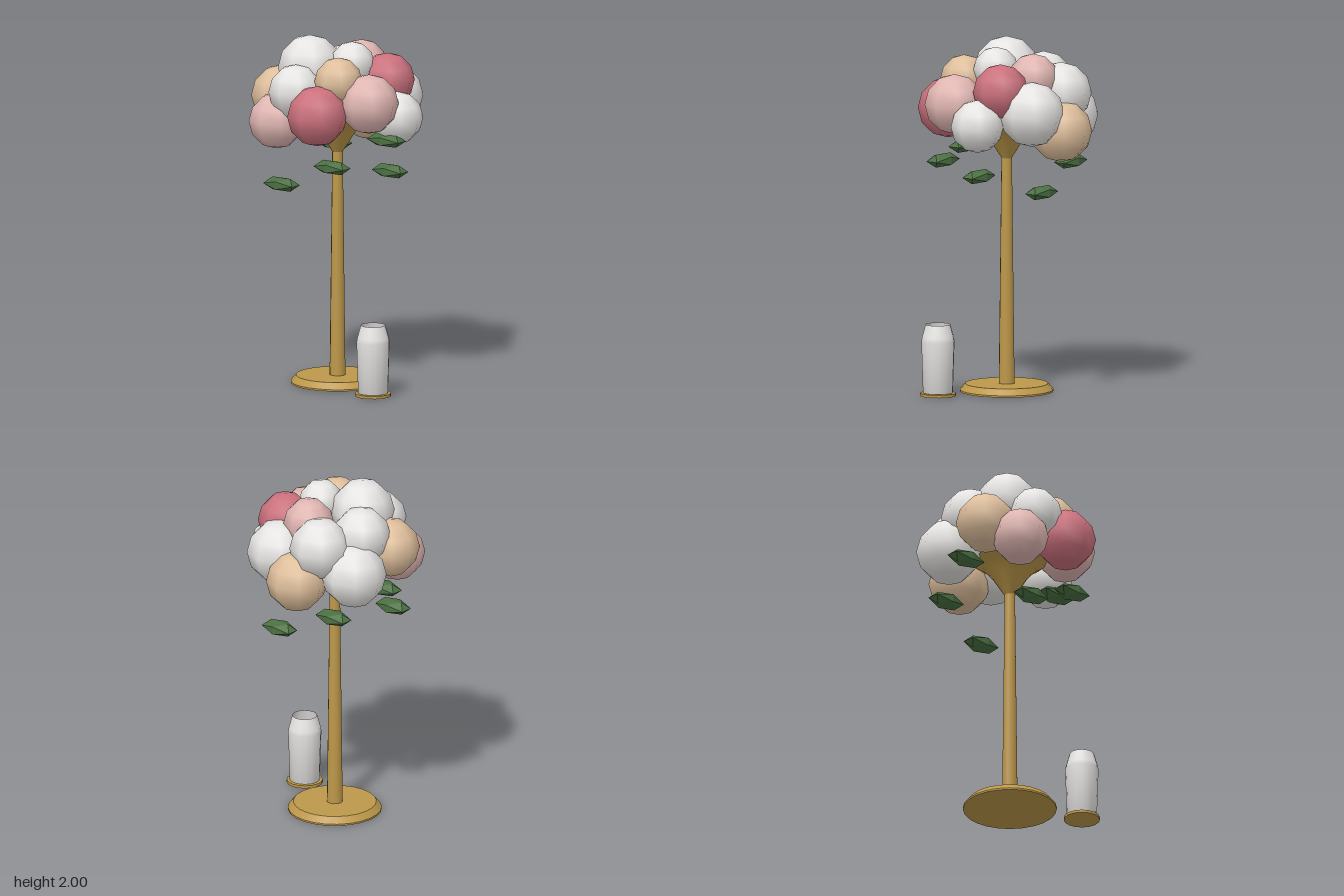
import * as THREE from 'three';

const paint = (name, color, side = THREE.FrontSide) => {
  const m = new THREE.MeshStandardMaterial({ color, side });
  m.name = name;
  return m;
};

export function createModel() {
  const model = new THREE.Group();
  model.name = 'flowerStandWithVase';

  const white = paint('white', 0xe6e5e3, THREE.DoubleSide);
  const blush = paint('blush', 0xe0b6b2);
  const rose = paint('rose', 0xcb717d);
  const champagne = paint('champagne', 0xdfbf9c);
  const gold = paint('gold', 0xbd984a, THREE.DoubleSide);
  const green = paint('leafGreen', 0x4b7042);
  green.flatShading = true;

  const add = (parent, name, geometry, material, x = 0, y = 0, z = 0) => {
    const mesh = new THREE.Mesh(geometry, material);
    mesh.name = name;
    mesh.position.set(x, y, z);
    parent.add(mesh);
    return mesh;
  };
  const lathe = (points, sides) =>
    new THREE.LatheGeometry(points.map(([r, y]) => new THREE.Vector2(r, y)), sides);

  // Stand: bevelled foot, tapering pole and trumpet-shaped holder
  const stand = new THREE.Group();
  stand.name = 'stand';
  stand.position.set(-0.01, 0, 0.015);
  add(stand, 'foot', new THREE.CylinderGeometry(0.235, 0.265, 0.035, 24), gold, 0, 0.0275, 0);
  add(stand, 'footRim', new THREE.CylinderGeometry(0.265, 0.265, 0.01, 24), gold, 0, 0.005, 0);
  add(stand, 'pole', new THREE.CylinderGeometry(0.03, 0.045, 1.29, 12), gold, 0, 0.69, 0);
  add(stand, 'holder', lathe([[0.03, 1.33], [0.1, 1.44], [0.15, 1.5], [0.21, 1.54]], 16), gold);
  model.add(stand);

  // Blossoms: material, x, y, z, radius
  const blossoms = new THREE.Group();
  blossoms.name = 'blossoms';
  [
    [champagne, -0.05, 1.51, -0.35, 0.175],
    [white, 0.137, 1.62, -0.29, 0.184],
    [white, -0.15, 1.71, -0.265, 0.175],
    [blush, 0.005, 1.8, -0.19, 0.143],
    [white, -0.13, 1.82, 0.115, 0.182],
    [white, -0.265, 1.75, -0.045, 0.165],
    [white, 0.09, 1.845, 0.012, 0.128],
    [white, -0.315, 1.56, -0.165, 0.185],
    [rose, 0.228, 1.745, -0.135, 0.157],
    [white, 0.35, 1.555, -0.065, 0.15],
    [blush, 0.305, 1.66, 0.137, 0.17],
    [champagne, 0.138, 1.78, 0.203, 0.137],
    [rose, 0.102, 1.6, 0.35, 0.172],
    [white, -0.09, 1.71, 0.3, 0.155],
    [blush, -0.216, 1.53, 0.31, 0.16],
    [champagne, -0.32, 1.64, 0.137, 0.168],
  ].forEach(([material, x, y, z, r], i) =>
    add(blossoms, `blossom${i + 1}`, new THREE.SphereGeometry(r, 8, 6), material, x, y, z));
  model.add(blossoms);

  // Leaves: x, y, z, length
  const leaves = new THREE.Group();
  leaves.name = 'leaves';
  [
    [0.343, 1.44, 0.025, 0.13],
    [-0.365, 1.44, 0.025, 0.13],
    [0.183, 1.31, 0.32, 0.122],
    [-0.245, 1.31, -0.26, 0.122],
    [0.1, 1.175, -0.33, 0.12],
    [-0.16, 1.175, 0.34, 0.12],
  ].forEach(([x, y, z, length], i) => {
    const leaf = add(leaves, `leaf${i + 1}`, new THREE.IcosahedronGeometry(1, 0), green, x, y, z);
    leaf.scale.set(length, 0.043, 0.07);
  });
  model.add(leaves);

  // Open vase on a thin gold plinth
  const vase = new THREE.Group();
  vase.name = 'vase';
  vase.position.set(0.38, 0, 0.197);
  add(vase, 'vasePlinth', new THREE.CylinderGeometry(0.102, 0.102, 0.016, 16), gold, 0, 0.008, 0);
  add(vase, 'vaseBody', lathe([[0, 0.018], [0.085, 0.018], [0.094, 0.31], [0.09, 0.335], [0.07, 0.407]], 16), white);
  model.add(vase);

  return model;
}
